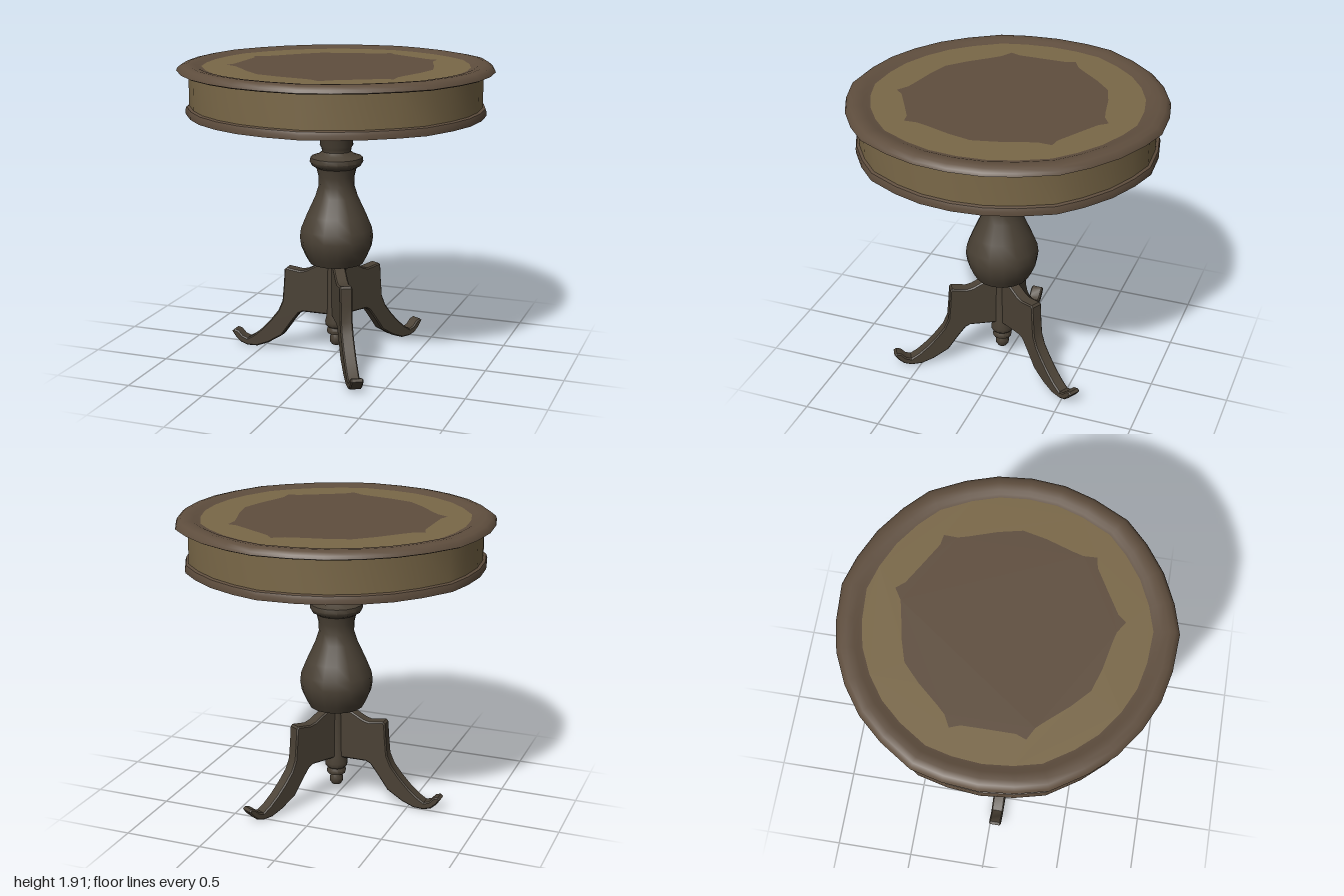
import * as THREE from 'three';
import { toCreasedNormals } from 'three/addons/utils/BufferGeometryUtils.js';

const paint = (color) => new THREE.MeshStandardMaterial({ color });
const V2 = (list) => list.map(([x, y]) => new THREE.Vector2(x, y));

// Repeats a [degrees, radius] list three times round the centre
function threefold(sector) {
  const points = [];
  for (let k = 0; k < 3; k++) {
    for (const [deg, r] of sector) {
      const a = THREE.MathUtils.degToRad(deg + k * 120);
      points.push(new THREE.Vector2(r * Math.cos(a), r * Math.sin(a)));
    }
  }
  return points;
}

// Sweeps a [scale, y] profile (bottom to top) round an outline
function sweep(outline, profile, crease = 0.6) {
  const n = outline.length, pos = [], index = [];
  for (const [s, y] of profile) for (const p of outline) pos.push(p.x * s, y, p.y * s);
  for (let i = 0; i < profile.length - 1; i++) {
    for (let j = 0; j < n; j++) {
      const k = (j + 1) % n;
      const a = i * n + j, b = i * n + k, c = a + n, d = b + n;
      if (profile[i + 1][0] > 0) index.push(a, c, d);
      if (profile[i][0] > 0) index.push(a, d, b);
    }
  }
  const g = new THREE.BufferGeometry();
  g.setAttribute('position', new THREE.Float32BufferAttribute(pos, 3));
  g.setIndex(index);
  return toCreasedNormals(g, crease);
}

export function createModel() {
  const model = new THREE.Group();
  const gold = paint(0x7a6848), brown = paint(0x5f4e3e), dark = paint(0x4a4135);

  function add(parent, name, geometry, material) {
    const mesh = new THREE.Mesh(geometry, material);
    mesh.name = name;
    parent.add(mesh);
    return mesh;
  }

  // Slightly scalloped table outline and the cusped inlay outline
  const rim = threefold([[0, 0.982], [12, 0.985], [23.5, 0.985], [37, 1], [48, 0.988],
    [60, 0.986], [72, 0.988], [83, 1], [96.5, 0.985], [108, 0.985]]);
  const cusps = threefold([[0, 0.62], [14, 0.605], [30, 0.615], [36, 0.635], [41.5, 0.69], [46, 0.65],
    [60, 0.63], [74, 0.65], [78.5, 0.69], [84, 0.635], [90, 0.615], [106, 0.605]]);

  // Table top
  const top = new THREE.Group();
  top.name = 'tableTop';
  model.add(top);
  add(top, 'topRim', sweep(rim, [[0.92, 1.865], [0.985, 1.865], [1, 1.872], [0.992, 1.89], [0.97, 1.908],
    [0.935, 1.915], [0.89, 1.91], [0.865, 1.9], [0.84, 1.896]]), brown);
  const border = new THREE.Shape(rim.map((p) => p.clone().multiplyScalar(0.845)));
  border.holes.push(new THREE.Path(cusps));
  const flat = (shape) => new THREE.ShapeGeometry(shape).rotateX(-Math.PI / 2).translate(0, 1.897, 0);
  add(top, 'inlayBorder', flat(border), gold);
  add(top, 'inlayCentre', flat(new THREE.Shape(cusps)), brown);

  // Apron, lower moulding and underside
  add(top, 'apron', sweep(rim, [[0.925, 1.645], [0.925, 1.867]]), gold);
  add(top, 'lowerMoulding', sweep(rim, [[0.93, 1.596], [0.948, 1.598], [0.949, 1.625],
    [0.942, 1.645], [0.924, 1.652]]), brown);
  add(top, 'underside', sweep(rim, [[0, 1.592], [0.93, 1.596]]), dark);

  // Pedestal stands a little off the middle of the top
  const base = new THREE.Group();
  base.name = 'base';
  base.position.set(0.01, 0, 0.037);
  model.add(base);
  const turned = (list, sides) => toCreasedNormals(new THREE.LatheGeometry(V2(list), sides), 0.75);
  add(base, 'pedestal', turned([[0, 0.63], [0.175, 0.635], [0.2, 0.68], [0.226, 0.74], [0.235, 0.8],
    [0.227, 0.86], [0.19, 0.95], [0.135, 1.07], [0.113, 1.14], [0.115, 1.2], [0.128, 1.255],
    [0.158, 1.272], [0.17, 1.295], [0.165, 1.322], [0.115, 1.34], [0.092, 1.36], [0.094, 1.38],
    [0.106, 1.4], [0.104, 1.435], [0.122, 1.465], [0.135, 1.5], [0.17, 1.555], [0.18, 1.575],
    [0.25, 1.585], [0.275, 1.596]], 16), dark);

  // Hub between the legs with the hanging finial
  add(base, 'hubAndFinial', turned([[0, 0.072], [0.03, 0.076], [0.043, 0.095], [0.045, 0.12],
    [0.037, 0.145], [0.06, 0.155], [0.064, 0.175], [0.056, 0.195], [0.072, 0.21], [0.075, 0.235],
    [0.066, 0.275], [0.062, 0.64]], 12), dark);

  // Three scrolled legs
  const legShape = new THREE.Shape(V2([[0.02, 0.28], [0.22, 0.28], [0.25, 0.265], [0.3, 0.2], [0.37, 0.1],
    [0.47, 0.037], [0.55, 0.005], [0.62, 0.002], [0.67, 0.018], [0.705, 0.05], [0.732, 0.088],
    [0.715, 0.102], [0.685, 0.094], [0.655, 0.062], [0.62, 0.05], [0.57, 0.082], [0.51, 0.135],
    [0.45, 0.2], [0.395, 0.27], [0.365, 0.34], [0.355, 0.45], [0.348, 0.555], [0.335, 0.568],
    [0.24, 0.555], [0.2, 0.565], [0.11, 0.615], [0.02, 0.63]]));
  const legGeometry = toCreasedNormals(new THREE.ExtrudeGeometry(legShape, {
    depth: 0.064, bevelEnabled: true, bevelThickness: 0.008, bevelSize: 0.008,
    bevelOffset: -0.008, bevelSegments: 1,
  }).translate(0, 0, -0.032), 0.6);
  for (const angle of [Math.PI / 3, Math.PI, -Math.PI / 3]) {
    add(base, 'leg', legGeometry, dark).rotation.y = angle;
  }

  return model;
}
